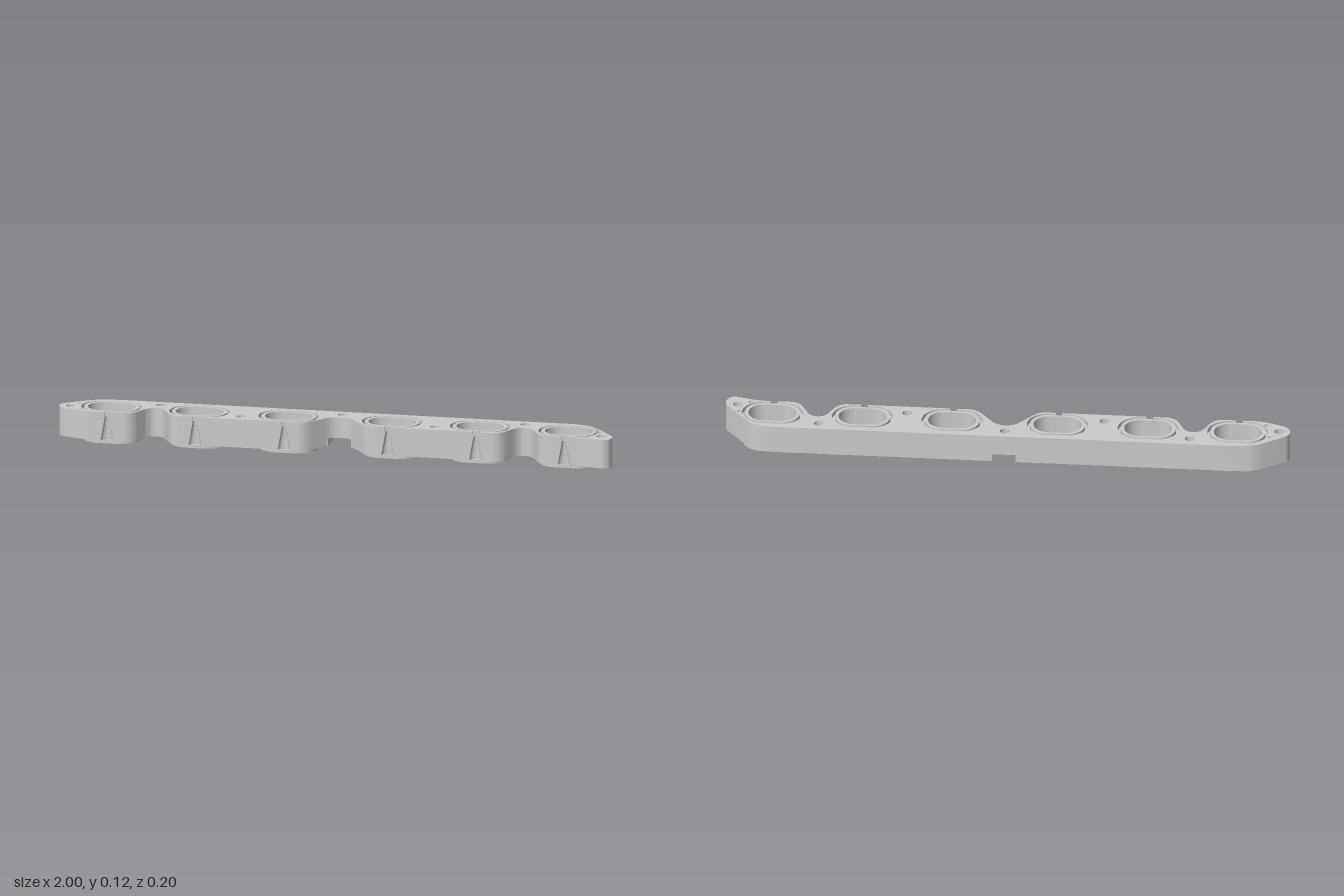
import * as THREE from 'three';
import { toCreasedNormals } from 'three/addons/utils/BufferGeometryUtils.js';

const FRONT = 0.08, BACK = -0.097;
const SLOT = 0.022;                       // nominal half width of the front slots
const ports = [-0.817, -0.5, -0.179, 0.194, 0.511, 0.83];
const LEVELS = [0.012, 0.04, 0.098, 0.115];
const material = new THREE.MeshStandardMaterial({ color: 0xcccccc });

// bolt and dowel holes: x, z, radius
const bolts = [
  [-0.651, -0.059, 0.017], [0.003, -0.059, 0.017], [0.661, -0.059, 0.017],
  [-0.342, 0.037, 0.017], [0.356, 0.037, 0.017],
  [-0.962, 0.016, 0.017], [-0.915, 0.055, 0.008], [-0.932, -0.025, 0.008],
  [0.957, 0.048, 0.017], [0.912, 0.068, 0.008], [0.946, 0.002, 0.008],
];

// rounded port loop: front right, back right, back left, front left
function stadium(c, a, b, n = 14) {
  const pts = [];
  for (let i = 0; i < 2 * n + 2; i++) {
    const s = i <= n ? 1 : -1;
    const t = Math.PI * (s > 0 ? i : i - 1) / n;
    pts.push([c + s * (a - b) + b * Math.sin(t), b * Math.cos(t)]);
  }
  return pts;
}

function circle([x, z, r]) {
  return Array.from({ length: 24 }, (_, i) => {
    const t = i / 24 * Math.PI * 2;
    return [x + r * Math.cos(t), z + r * Math.sin(t)];
  });
}

// replace corners [x, z, r] with short curves
function roundCorners(pts) {
  const out = [];
  pts.forEach(([x, z, r = 0], i) => {
    if (!r) return out.push([x, z]);
    const p = new THREE.Vector2(x, z);
    const toward = (q) => {
      const d = new THREE.Vector2(q[0], q[1]).sub(p);
      return p.clone().addScaledVector(d, Math.min(r / d.length(), 0.49));
    };
    const a = toward(pts[(i + pts.length - 1) % pts.length]);
    const b = toward(pts[(i + 1) % pts.length]);
    new THREE.QuadraticBezierCurve(a, p, b).getPoints(8).forEach((v) => out.push([v.x, v.y]));
  });
  return out;
}

// scallop in the front edge between two ports
const scallop = (c, top, bottom, z, r) => [
  [c - top, FRONT, 0.035], [c - bottom, z, r], [c + bottom, z, r], [c + top, FRONT, 0.035],
];

// hollow slot in front of a port; on the top layer it opens into the seal groove
function slot(c, open) {
  if (open) {
    return [[c - SLOT, FRONT], [c - SLOT, 0.073], ...stadium(c, 0.108, 0.073).reverse(),
      [c + SLOT, 0.073], [c + SLOT, FRONT]];
  }
  return Array.from({ length: 11 }, (_, i) => {
    const t = Math.PI * i / 10;
    return [c - SLOT * Math.cos(t), FRONT - 0.014 * Math.sin(t)];
  });
}

function outline(open) {
  const s = ports.map((c) => slot(c, open));
  return roundCorners([
    [-0.82, BACK, 0.04], [-0.89, -0.085, 0.03], [-1.004, -0.006, 0.025],
    [-0.998, 0.045, 0.03], [-0.9, FRONT, 0.04],
    ...s[0], ...scallop(-0.659, 0.07, 0.025, -0.012, 0.03),
    ...s[1], ...s[2], ...scallop(0.004, 0.11, 0.03, -0.02, 0.03),
    ...s[3], ...s[4], ...scallop(0.67, 0.07, 0.025, -0.012, 0.03),
    ...s[5], [0.885, FRONT, 0.03], [0.985, 0.105, 0.03], [1.007, 0.055, 0.03],
    [0.9, -0.08, 0.025], [0.84, BACK, 0.03],
  ]);
}

// half width of a slot at height y: flared foot, narrow neck, small flare on top
function slotWidth(y) {
  return y < LEVELS[2]
    ? THREE.MathUtils.mapLinear(y, LEVELS[0], LEVELS[2], 0.023, 0.008)
    : THREE.MathUtils.mapLinear(y, LEVELS[2], LEVELS[3], 0.008, 0.012);
}

function slab(name, pts, holes, y0, y1, taper = false) {
  const loop = (list) => list.map(([x, z]) => new THREE.Vector2(x, -z));
  const shape = new THREE.Shape(loop(pts));
  shape.holes = holes.map((h) => new THREE.Path(loop(h)));
  const geo = new THREE.ExtrudeGeometry(shape, { depth: y1 - y0, bevelEnabled: false });
  geo.rotateX(-Math.PI / 2).translate(0, y0, 0);
  if (taper) {
    const p = geo.attributes.position;
    for (let i = 0; i < p.count; i++) {
      const c = ports.find((q) => Math.abs(p.getX(i) - q) < SLOT + 0.001);
      if (c !== undefined && p.getZ(i) > 0.06) {
        p.setX(i, c + (p.getX(i) - c) * slotWidth(p.getY(i)) / SLOT);
      }
    }
  }
  const mesh = new THREE.Mesh(toCreasedNormals(geo, 0.5), material);
  mesh.name = name;
  return mesh;
}

export function createModel() {
  const group = new THREE.Group();
  group.name = 'portSpacer';
  const [y0, y1, y2, y3] = LEVELS;
  const boltHoles = bolts.map(circle);
  const portHoles = ports.map((c) => stadium(c, 0.085, 0.055));
  const body = outline(false);

  // lower body, split by the channel under the middle
  for (const side of [-1, 1]) {
    const edge = 0.004 + 0.0415 * side;
    const beyond = ([x]) => (x - edge) * side > 0;
    const holes = [...boltHoles, ...portHoles].filter((h) => h.every(beyond));
    const front = [edge, -0.003], back = [edge, BACK];
    const cut = side < 0 ? [front, back] : [back, front];
    group.add(slab(side < 0 ? 'rightLowerBody' : 'leftLowerBody',
      [...body.filter(beyond), ...cut], holes, y0, y1, true));
  }

  // main body and the top layer holding the seal grooves
  group.add(slab('mainBody', body, [...boltHoles, ...portHoles], y1, y2, true));
  group.add(slab('topPlate', outline(true), boltHoles, y2, y3, true));

  // raised rim inside each groove and locating lip under each port
  ports.forEach((c, i) => {
    group.add(slab('portRim' + (i + 1), stadium(c, 0.098, 0.064), [portHoles[i]], y2, y3));
    group.add(slab('portLip' + (i + 1), stadium(c, 0.105, 0.075), [portHoles[i]], 0, y0));
  });
  return group;
}
